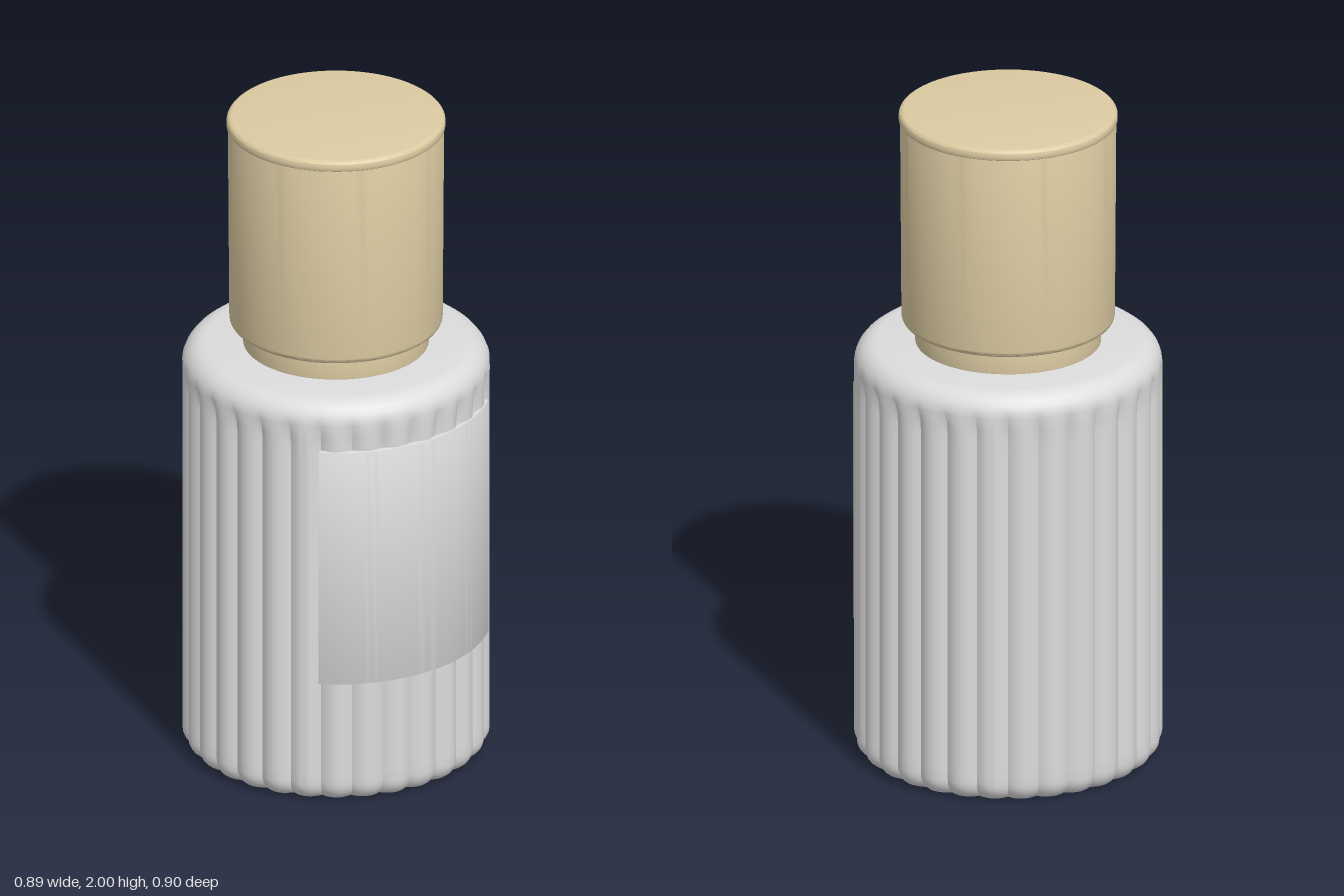
import * as THREE from 'three';
import { toCreasedNormals } from 'three/addons/utils/BufferGeometryUtils.js';

const FLUTES = 30;
const STEPS = 8; // segments across each flute

// Lathe profile of a solid disc: radii and heights, with rounded edges
function discProfile(rBottom, rTop, y0, y1, filletBottom, filletTop, rows = 1) {
  const pts = [new THREE.Vector2(0, y0)];
  const arc = (cx, cy, f, from) => {
    for (let i = 0; i <= 6; i++) {
      const a = from + (i / 6) * Math.PI / 2;
      pts.push(new THREE.Vector2(cx + f * Math.cos(a), cy + f * Math.sin(a)));
    }
  };
  arc(rBottom - filletBottom, y0 + filletBottom, filletBottom, -Math.PI / 2);
  const a = pts[pts.length - 1].clone();
  const b = new THREE.Vector2(rTop, y1 - filletTop);
  for (let i = 1; i < rows; i++) pts.push(a.clone().lerp(b, i / rows));
  arc(rTop - filletTop, y1 - filletTop, filletTop, 0);
  pts.push(new THREE.Vector2(0, y1));
  return pts;
}

// Round lobes with sharp grooves, fading out below the shoulder
function flutedBody() {
  const R = 0.448, depth = 0.018;
  const profile = discProfile(R, R, 0, 1.28, 0.06, 0.07, 32);
  const geo = new THREE.LatheGeometry(profile, FLUTES * STEPS);
  const pos = geo.attributes.position;
  for (let i = 0; i < pos.count; i++) {
    const x = pos.getX(i), y = pos.getY(i), z = pos.getZ(i);
    const turn = Math.atan2(x, z) / (Math.PI * 2) * FLUTES;
    const t = 2 * (turn - Math.round(turn)); // -1..1 across one lobe
    const fade = 1 - THREE.MathUtils.smoothstep(y, 1.15, 1.24);
    const s = 1 - (depth / R) * t * t * fade;
    pos.setXYZ(i, x * s, y, z * s);
  }
  return toCreasedNormals(geo, 0.6);
}

// Curved plate wrapped around the front
function labelPlate() {
  const outer = 0.451, inner = 0.436, half = 0.74, bevel = 0.003;
  const mid = Math.PI / 2;
  const shape = new THREE.Shape();
  shape.absarc(0, 0, outer - bevel, mid - half, mid + half, false);
  shape.absarc(0, 0, inner, mid + half, mid - half, true);
  shape.closePath();
  const geo = new THREE.ExtrudeGeometry(shape, {
    depth: 0.745 - 2 * bevel, curveSegments: 40,
    bevelEnabled: true, bevelSize: bevel, bevelThickness: bevel, bevelSegments: 2,
  });
  geo.rotateX(Math.PI / 2); // arc now faces +z, depth runs down
  geo.translate(0, 1.13 - bevel, 0);
  return toCreasedNormals(geo, 0.6);
}

export function createModel() {
  const group = new THREE.Group();
  const grey = new THREE.MeshStandardMaterial({ color: 0xdcdcdc });
  grey.name = 'pale grey';
  const tan = new THREE.MeshStandardMaterial({ color: 0xdccba2 });
  tan.name = 'tan';

  const add = (name, geo, mat) => {
    const mesh = new THREE.Mesh(geo, mat);
    mesh.name = name;
    group.add(mesh);
  };
  const turned = (...args) =>
    toCreasedNormals(new THREE.LatheGeometry(discProfile(...args), 96), 0.6);

  add('bottleBody', flutedBody(), grey);
  add('label', labelPlate(), grey);

  // Neck ring, cap and its top disc
  add('neckRing', turned(0.27, 0.27, 1.27, 1.35, 0.012, 0.012), tan);
  add('cap', turned(0.31, 0.314, 1.345, 1.972, 0.018, 0.004), tan);
  add('capTop', turned(0.318, 0.318, 1.968, 2, 0.006, 0.015), tan);
  return group;
}
